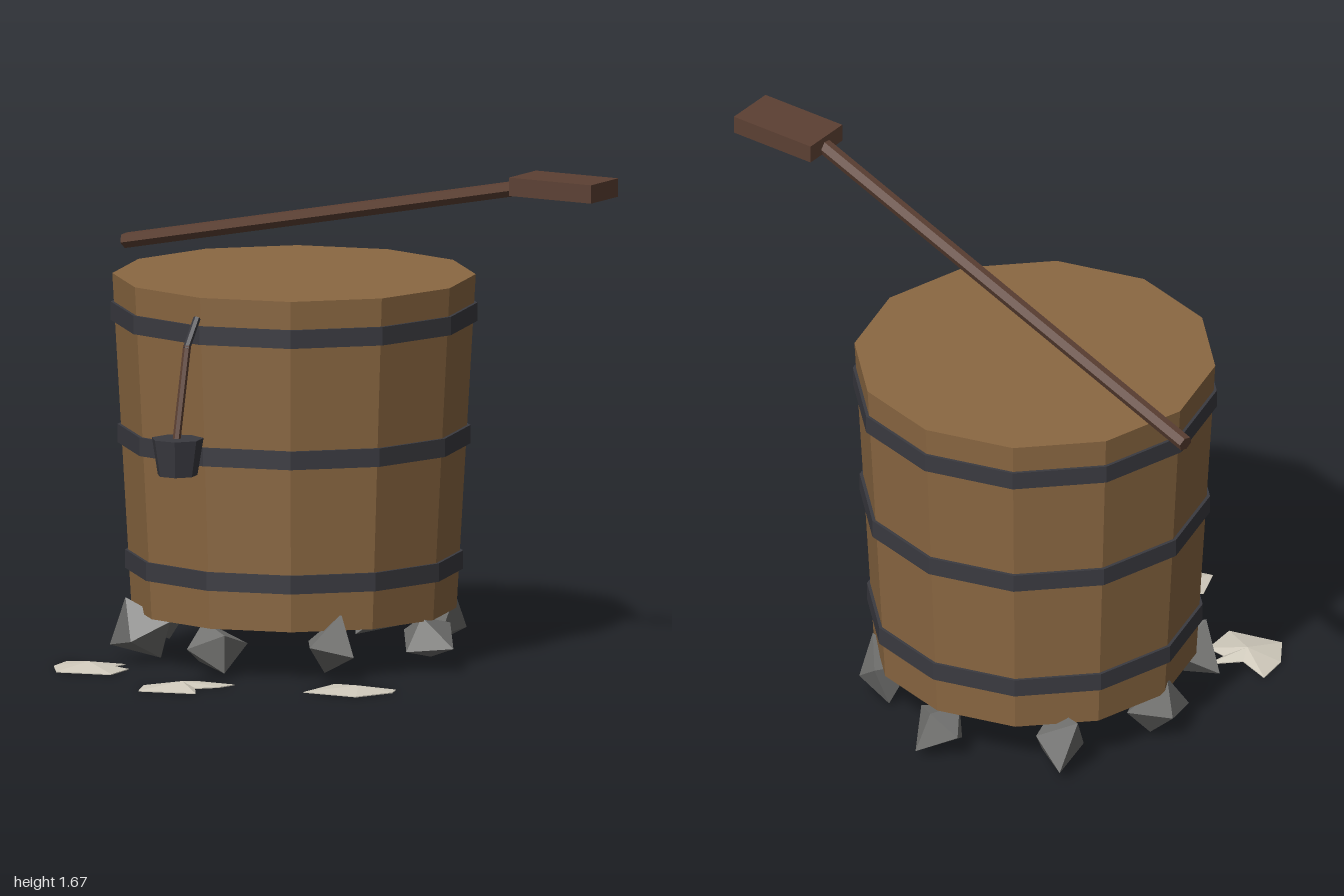
import * as THREE from 'three';

const mat = (name, color) => {
  const m = new THREE.MeshStandardMaterial({ color, flatShading: true });
  m.name = name;
  return m;
};

export function createModel() {
  const barrelWood = mat('barrel wood', 0x8b6842);
  const darkWood = mat('dark wood', 0x5c4033);
  const iron = mat('iron', 0x3a3a40);
  const stone = mat('stone', 0x70706e);
  const pale = mat('pale flake', 0xd0cabc);

  const model = new THREE.Group();
  model.name = 'barrelWithPaddle';
  const add = (name, geometry, material, x = 0, y = 0, z = 0, parent = model) => {
    const mesh = new THREE.Mesh(geometry, material);
    mesh.name = name;
    mesh.position.set(x, y, z);
    parent.add(mesh);
    return mesh;
  };
  // Straight rod between two points
  const rod = (name, a, b, radius, sides, material, parent) => {
    const from = new THREE.Vector3(...a), to = new THREE.Vector3(...b);
    const dir = to.clone().sub(from);
    const mid = from.clone().add(to).multiplyScalar(0.5);
    const mesh = add(name, new THREE.CylinderGeometry(radius, radius, dir.length(), sides), material, mid.x, mid.y, mid.z, parent);
    mesh.quaternion.setFromUnitVectors(new THREE.Vector3(0, 1, 0), dir.normalize());
    return mesh;
  };

  // Tapered twelve-sided barrel with three hoops
  const barrel = new THREE.Group();
  barrel.name = 'barrel';
  barrel.position.set(-0.25, 0, -0.15);
  model.add(barrel);
  add('barrelBody', new THREE.CylinderGeometry(0.587, 0.525, 1.09, 12), barrelWood, 0, 0.705, 0, barrel);
  [[0.317, 0.546], [0.727, 0.57], [1.127, 0.592]].forEach(([y, r]) =>
    add('hoop', new THREE.CylinderGeometry(r, r, 0.06, 12), iron, 0, y, 0, barrel));

  // Paddle above the barrel
  const paddle = new THREE.Group();
  paddle.name = 'paddle';
  model.add(paddle);
  rod('paddleShaft', [-0.996, 1.273, -0.332], [0.7, 1.628, -0.02], 0.026, 6, darkWood, paddle);
  add('paddleBlade', new THREE.BoxGeometry(0.31, 0.06, 0.17), darkWood, 0.845, 1.64, -0.02, paddle);

  // Hanging dipper: cup, wooden handle and iron hook
  const dipper = new THREE.Group();
  dipper.name = 'dipper';
  model.add(dipper);
  add('dipperCup', new THREE.CylinderGeometry(0.086, 0.066, 0.12, 7), iron, -0.25, 0.75, 0.58, dipper).rotation.y = Math.PI;
  rod('dipperHandle', [-0.25, 0.79, 0.587], [-0.25, 1.105, 0.518], 0.013, 6, darkWood, dipper);
  rod('dipperHook', [-0.25, 1.095, 0.523], [-0.25, 1.187, 0.456], 0.012, 6, iron, dipper);

  // Ring of jagged stones under the barrel
  let seed = 11;
  const rand = () => (seed = (seed * 16807) % 2147483647) / 2147483647;
  for (let i = 0; i < 8; i++) {
    const angle = i * Math.PI / 4;
    const geo = new THREE.OctahedronGeometry(0.125, 0);
    const pos = geo.attributes.position;
    const turn = new THREE.Euler(rand() * 3, rand() * 6, rand() * 3);
    const moved = new Map();
    const v = new THREE.Vector3();
    for (let j = 0; j < pos.count; j++) {
      v.fromBufferAttribute(pos, j);
      const key = v.toArray().map(n => Math.round(n * 100)).join();
      // Shared corners move together so the stone stays closed
      if (!moved.has(key)) {
        const p = v.clone().multiplyScalar(0.6 + rand() * 0.5).applyEuler(turn);
        p.y = Math.max(-0.085, p.y * 0.95);
        moved.set(key, p);
      }
      const p = moved.get(key);
      pos.setXYZ(j, p.x, p.y, p.z);
    }
    geo.computeVertexNormals();
    add('stone', geo, stone, -0.25 + Math.sin(angle) * 0.5, 0.098, -0.15 + Math.cos(angle) * 0.5);
  }

  // Low pale flakes on the ground: outline [x, z], then a shallow peak
  const flake = (outline, [px, py, pz]) => {
    const tris = [];
    outline.forEach(([ax, az], i) => {
      const [bx, bz] = outline[(i + 1) % outline.length];
      tris.push(px, py, pz, bx, 0.003, bz, ax, 0.003, az);
      tris.push(px, 0, pz, ax, 0, az, bx, 0, bz);
      tris.push(ax, 0, az, ax, 0.003, az, bx, 0.003, bz, ax, 0, az, bx, 0.003, bz, bx, 0, bz);
    });
    const geo = new THREE.BufferGeometry();
    geo.setAttribute('position', new THREE.Float32BufferAttribute(tris, 3));
    geo.computeVertexNormals();
    add('flake', geo, pale);
  };
  flake([[-0.815, 0.33], [-0.7, 0.37], [-0.62, 0.29], [-0.63, 0.36], [-0.56, 0.37], [-0.55, 0.495], [-0.73, 0.54], [-0.8, 0.44]], [-0.68, 0.025, 0.42]);
  flake([[0.17, 0.29], [0.4, 0.29], [0.42, 0.345], [0.365, 0.48], [0.17, 0.485]], [0.3, 0.018, 0.36]);
  flake([[-0.23, 0.47], [-0.1, 0.47], [-0.115, 0.54], [-0.17, 0.6], [-0.115, 0.69], [-0.3, 0.74], [-0.345, 0.63], [-0.24, 0.58]], [-0.21, 0.025, 0.615]);

  return model;
}
